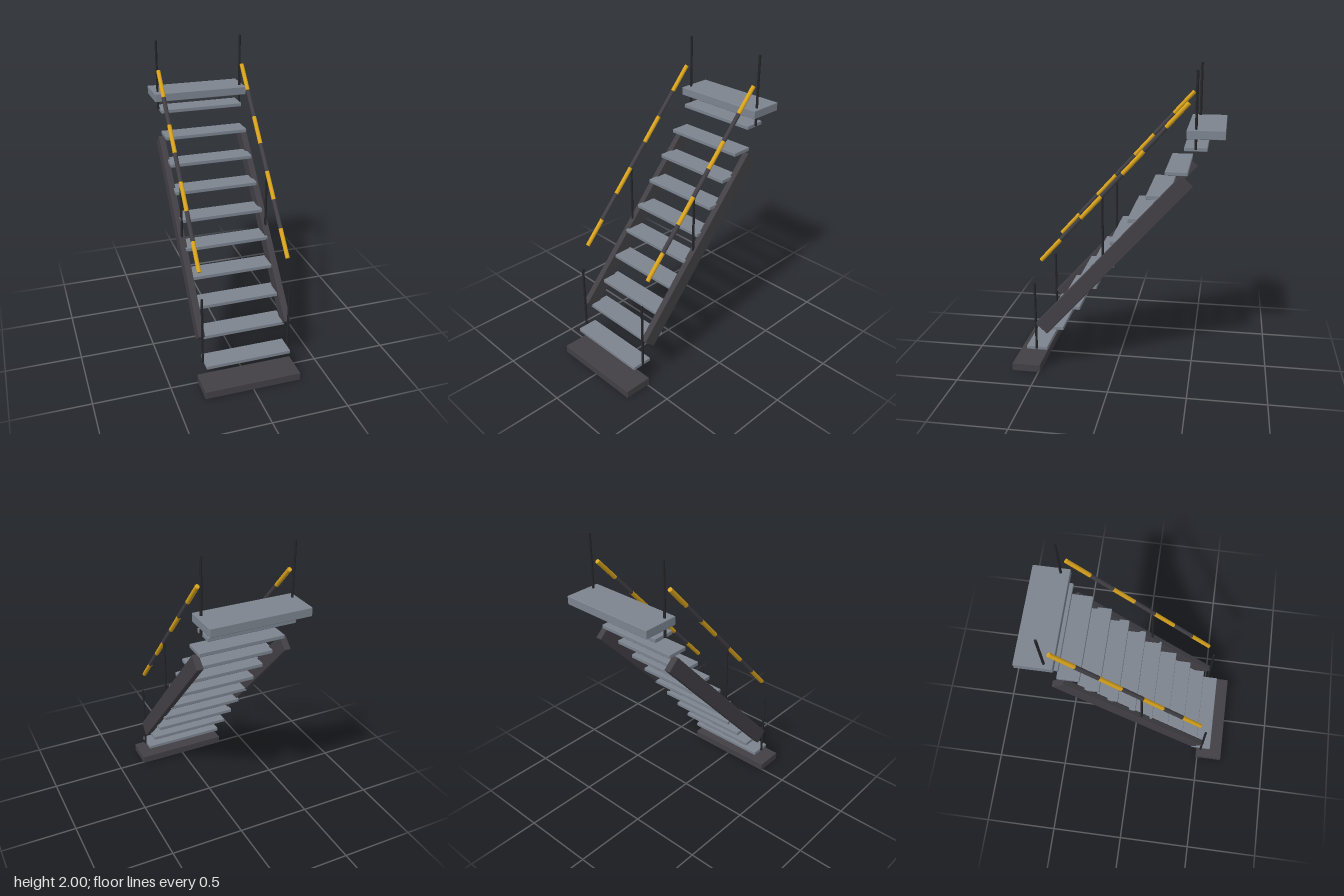
import * as THREE from 'three';
import { RoundedBoxGeometry } from 'three/addons/geometries/RoundedBoxGeometry.js';

const material = (name, color) => {
  const m = new THREE.MeshStandardMaterial({ color });
  m.name = name;
  return m;
};

export function createModel() {
  const group = new THREE.Group();
  group.name = 'staircase';
  const steel = material('blue grey steel', 0x7c848f);
  const dark = material('dark grey steel', 0x424045);
  const black = material('black metal', 0x252529);
  const yellow = material('warning yellow', 0xd9a31c);

  const add = (name, geometry, mat, x, y, z) => {
    const mesh = new THREE.Mesh(geometry, mat);
    mesh.name = name;
    mesh.position.set(x, y, z);
    group.add(mesh);
    return mesh;
  };
  const slab = (w, h, d) => new RoundedBoxGeometry(w, h, d, 2, 0.004);

  // Ground plinth and upper landing
  add('basePlinth', slab(0.64, 0.055, 0.19), dark, 0, 0.0275, 0.582);
  add('topLanding', slab(0.64, 0.055, 0.23), steel, 0, 1.628, -0.56);

  // Ten floating treads
  const treadY = (i) => 0.162 + i * 0.1525;
  const treadZ = (i) => 0.512 - i * 0.1125;
  const treadGeometry = slab(0.565, 0.026, 0.14);
  for (let i = 0; i < 10; i++) {
    add(`tread${i + 1}`, treadGeometry, steel, 0, treadY(i), treadZ(i));
  }

  // Everything that follows the slope leans back by this angle
  const slope = -Math.atan2(0.924, 1.023);
  const stringerGeometry = slab(0.042, 1.38, 0.1);
  const postGeometry = new THREE.CylinderGeometry(0.008, 0.008, 0.465, 12);

  // Striped rail: equal bands from the lower end to the upper end
  const low = new THREE.Vector3(0, 0.79, 0.46);
  const high = new THREE.Vector3(0, 1.81, -0.455);
  const bands = 7;
  const bandGeometry = new THREE.CylinderGeometry(0.014, 0.014, low.distanceTo(high) / bands, 16);

  for (const [side, x] of [['left', 0.29], ['right', -0.29]]) {
    add(`${side}Stringer`, stringerGeometry, dark, x, 0.829, 0.009).rotation.x = slope;

    // Posts stand on the lowest, middle and highest treads
    [0, 4, 9].forEach((step, n) => {
      add(`${side}Post${n + 1}`, postGeometry, black, x, treadY(step) + 0.2325, treadZ(step));
    });

    for (let b = 0; b < bands; b++) {
      const p = low.clone().lerp(high, (b + 0.5) / bands);
      add(`${side}RailBand${b + 1}`, bandGeometry, b % 2 ? dark : yellow, x, p.y, p.z).rotation.x = slope;
    }
  }
  return group;
}
